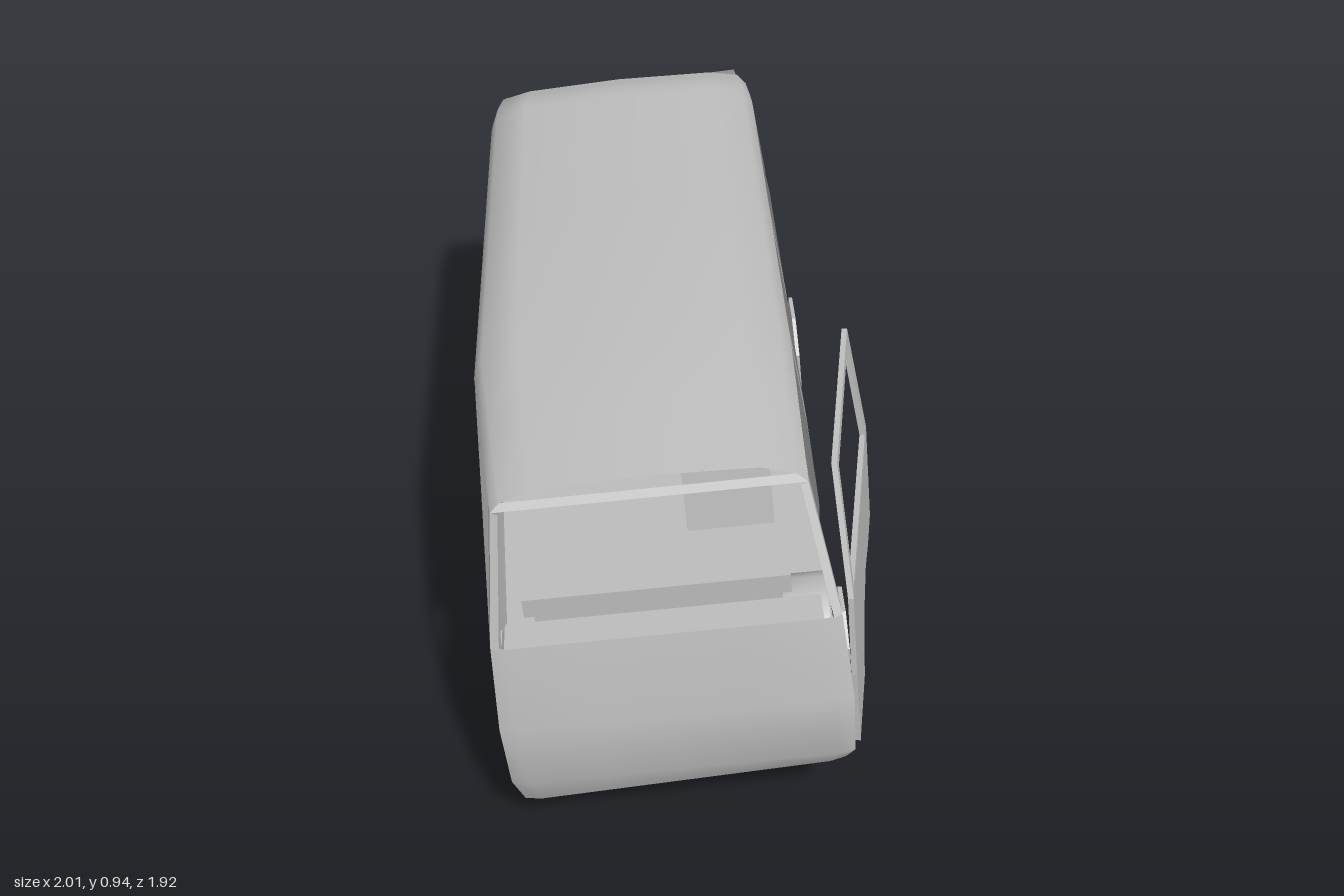
import * as THREE from 'three';
import { toCreasedNormals } from 'three/addons/utils/BufferGeometryUtils.js';

const paint = new THREE.MeshStandardMaterial({ color: 0xbebebe, side: THREE.DoubleSide });
paint.name = 'plain grey';

// Body section from sill to roof centre: half width, height, front limit, rear limit
const SECTION = [
  [0.365, 0.167, -0.975, 1.0],
  [0.385, 0.235, -1.005, 1.01],
  [0.39, 0.38, -0.995, 1.02],
  [0.378, 0.575, -0.955, 1.015],
  [0.352, 0.83, -0.835, 0.95],
  [0.328, 0.885, -0.825, 0.925],
  [0.25, 0.905, -0.82, 0.915],
  [0, 0.913, -0.82, 0.915],
];
const BELT = 3, WINDOW_TOP = 4;

// Point on the body skin at length x, section row k, across = -1 (far) to 1 (driver side)
function skin(x, k, across) {
  const [w, h, front, rear] = SECTION[k];
  const s = THREE.MathUtils.clamp(x, front, rear);
  const slopeFront = Math.max(0, (-0.36 - s) / 0.5);
  const slopeRear = THREE.MathUtils.clamp((s - 0.8) / 0.12, 0, 1);
  let y = h;
  if (k === WINDOW_TOP) y -= 0.02 * slopeRear;
  if (k > WINDOW_TOP) y -= 0.042 * slopeFront + 0.035 * slopeRear;
  if (k === 0) y += 0.017 * across + 0.03 * Math.max(0, (s - 0.4) / 0.6);
  const narrowing = k < WINDOW_TOP ? 0.04 : 0.09;
  const taper = 1 - narrowing * slopeFront - 0.04 * Math.max(0, (s - 0.75) / 0.25) ** 2;
  return [s, y, w * taper * across + 0.022 * slopeFront];
}

function add(parent, geometry, name, x = 0, y = 0, z = 0) {
  const mesh = new THREE.Mesh(geometry, paint);
  mesh.name = name;
  mesh.position.set(x, y, z);
  parent.add(mesh);
  return mesh;
}

// Surface through equal-length rows of points
function sheet(parent, name, rows) {
  const n = rows[0].length, index = [];
  for (let i = 0; i < rows.length - 1; i++) {
    for (let j = 0; j < n - 1; j++) {
      const a = i * n + j, b = a + n;
      index.push(a, a + 1, b, b, a + 1, b + 1);
    }
  }
  const geometry = new THREE.BufferGeometry();
  geometry.setAttribute('position', new THREE.Float32BufferAttribute(rows.flat(2), 3));
  geometry.setIndex(index);
  return add(parent, toCreasedNormals(geometry, 0.95), name);
}

function buildSide(body, side, name) {
  const wall = (part, stations) =>
    sheet(body, name + part, [0, 1, 2, BELT].map(k => stations.map(x => skin(x, k, side))));
  const pillar = (part, b0, b1, t0, t1) =>
    sheet(body, name + part, [
      [skin(b0, BELT, side), skin(b1, BELT, side)],
      [skin(t0, WINDOW_TOP, side), skin(t1, WINDOW_TOP, side)],
    ]);
  // The driver side keeps an open doorway behind its front post
  if (side > 0) {
    wall('FrontPost', [-1.1, -0.935]);
    wall('Wall', [-0.36, 0.2, 0.75, 0.9, 1.1]);
  } else {
    wall('Wall', [-1.1, -0.9, -0.75, -0.36, 0.2, 0.75, 0.9, 1.1]);
  }
  pillar('WindscreenPillar', -1.1, -0.92, -1.1, -0.8);
  pillar('DoorPillar', -0.36, -0.25, -0.35, -0.25);
  pillar('MiddlePillar', 0.17, 0.27, 0.17, 0.27);
  pillar('RearPillar', 0.85, 1.1, 0.79, 1.1);
}

function buildFront(body) {
  const across = [-1, -0.9, -0.45, 0, 0.45, 0.9, 1];
  const nose = (k, f) => {
    const p = skin(-1.1, k, f);
    if (Math.abs(f) < 1) p[0] -= 0.008;
    return p;
  };
  sheet(body, 'nosePanel', [0, 1, 2, BELT].map(k => across.map(f => nose(k, f))));
  for (const f of [-1, 1])
    sheet(body, 'windscreenEdge', [BELT, WINDOW_TOP].map(k => [nose(k, f), nose(k, f * 0.95)]));
  sheet(body, 'windscreenHeader', [WINDOW_TOP, 5].map(k => across.map(f => skin(-1.1, k, f))));
}

function buildRoof(body) {
  const arc = [[4, 1], [5, 1], [6, 1], [7, 1], [6, -1], [5, -1], [4, -1]];
  sheet(body, 'roof', [-1.1, -0.6, -0.36, 0.2, 0.75, 0.8, 0.86, 1.1]
    .map(x => arc.map(([k, side]) => skin(x, k, side))));
}

// Rear hatch standing slightly off the body: lower panel and window frame
function buildHatch(body) {
  const hatch = new THREE.Group();
  hatch.name = 'rearHatch';
  body.add(hatch);
  const rows = [[1.03, 0.235, 0.355], [1.045, 0.4, 0.37], [1.035, 0.575, 0.362], [0.945, 0.85, 0.315]];
  const at = ([x, y, w], f) => [x + 0.014 * f, y, w * f];
  sheet(hatch, 'hatchPanel', rows.slice(0, 3).map(r => [-1, 0, 1].map(f => at(r, f))));
  for (const f of [-1, 1])
    sheet(hatch, 'hatchFrameSide', rows.slice(2).map(r => [at(r, f), at(r, f * 0.9)]));
  sheet(hatch, 'hatchFrameTop', [rows[3], [0.957, 0.815, 0.321]].map(r => [-1, 1].map(f => at(r, f))));
}

// Driver door, swung open a little on its front edge
function buildDoor(body) {
  const door = new THREE.Group();
  door.name = 'openDoor';
  door.position.set(-0.93, 0.008, 0.4);
  door.rotation.y = -0.165;
  body.add(door);
  const shapeOf = pts => new THREE.Shape(pts.map(([x, y]) => new THREE.Vector2(x + 0.93, y)));
  const plate = (shape, name) => {
    const geometry = new THREE.ExtrudeGeometry(shape, { depth: 0.012, bevelEnabled: false });
    const p = geometry.attributes.position;
    // Lean the window frame inwards above the belt line
    for (let i = 0; i < p.count; i++) p.setZ(i, p.getZ(i) - 0.12 * Math.max(0, p.getY(i) - 0.575));
    geometry.computeVertexNormals();
    add(door, geometry, name);
  };
  plate(shapeOf([[-0.94, 0.185], [-0.74, 0.185], [-0.71, 0.25], [-0.65, 0.31], [-0.56, 0.345],
    [-0.46, 0.325], [-0.355, 0.325], [-0.35, 0.575], [-0.92, 0.575], [-0.94, 0.38]]), 'doorPanel');
  const frame = shapeOf([[-0.92, 0.575], [-0.345, 0.575], [-0.34, 0.845], [-0.79, 0.825]]);
  frame.holes.push(shapeOf([[-0.89, 0.585], [-0.775, 0.808], [-0.375, 0.827], [-0.385, 0.585]]));
  plate(frame, 'doorWindowFrame');
}

function buildInterior(body) {
  // Flat floor set above the sills
  sheet(body, 'floor', [-0.995, 0, 0.97].map(x => [-1, 1].map(f => skin(x, 1, f))));
  add(body, new THREE.BoxGeometry(0.08, 0.04, 0.66), 'dashboard', -0.9, 0.53, 0.02);
  add(body, new THREE.BoxGeometry(0.2, 0.05, 0.6), 'seatCushion', -0.54, 0.39, 0);
  add(body, new THREE.BoxGeometry(0.2, 0.13, 0.56), 'seatBase', -0.52, 0.3, 0);
  add(body, new THREE.BoxGeometry(0.04, 0.24, 0.2), 'driverSeatBack', -0.42, 0.52, 0.18).rotation.z = -0.15;
  // Arch over the driver side front wheel
  const angles = [0.1, 0.25, 0.4, 0.55, 0.7, 0.85].map(a => a * Math.PI);
  sheet(body, 'wheelArch', [0.28, 0.38].map(z =>
    angles.map(a => [-0.588 + 0.145 * Math.cos(a), 0.18 + 0.145 * Math.sin(a), z])));
}

// Flat eight-sided wheels: x, y, z, radius
function buildWheels(body) {
  const wheels = [[-0.59, 0.182, 0.412, 0.11], [0.608, 0.157, 0.409, 0.137],
    [-0.603, 0.165, -0.371, 0.107], [0.594, 0.155, -0.374, 0.093]];
  for (const [x, y, z, r] of wheels) {
    const geometry = new THREE.CylinderGeometry(r, r, 0.01, 8).rotateY(Math.PI / 8).rotateX(Math.PI / 2);
    add(body, toCreasedNormals(geometry, 0.3), 'wheel', x, y, z);
  }
}

export function createModel() {
  const body = new THREE.Group();
  body.name = 'van';
  buildSide(body, 1, 'driverSide');
  buildSide(body, -1, 'passengerSide');
  buildFront(body);
  buildRoof(body);
  buildHatch(body);
  buildDoor(body);
  buildInterior(body);
  buildWheels(body);

  // Turned and gently tilted stance
  const along = new THREE.Vector3(0.753, 0.03, -0.657).normalize();
  const up = new THREE.Vector3(0.653, 0.1, 0.7505).cross(along).normalize();
  const across = along.clone().cross(up);
  body.quaternion.setFromRotationMatrix(new THREE.Matrix4().makeBasis(along, up, across));
  body.position.set(0.01, 0.001, 0.011);

  const model = new THREE.Group();
  model.name = 'tiltedVan';
  model.add(body);
  return model;
}
